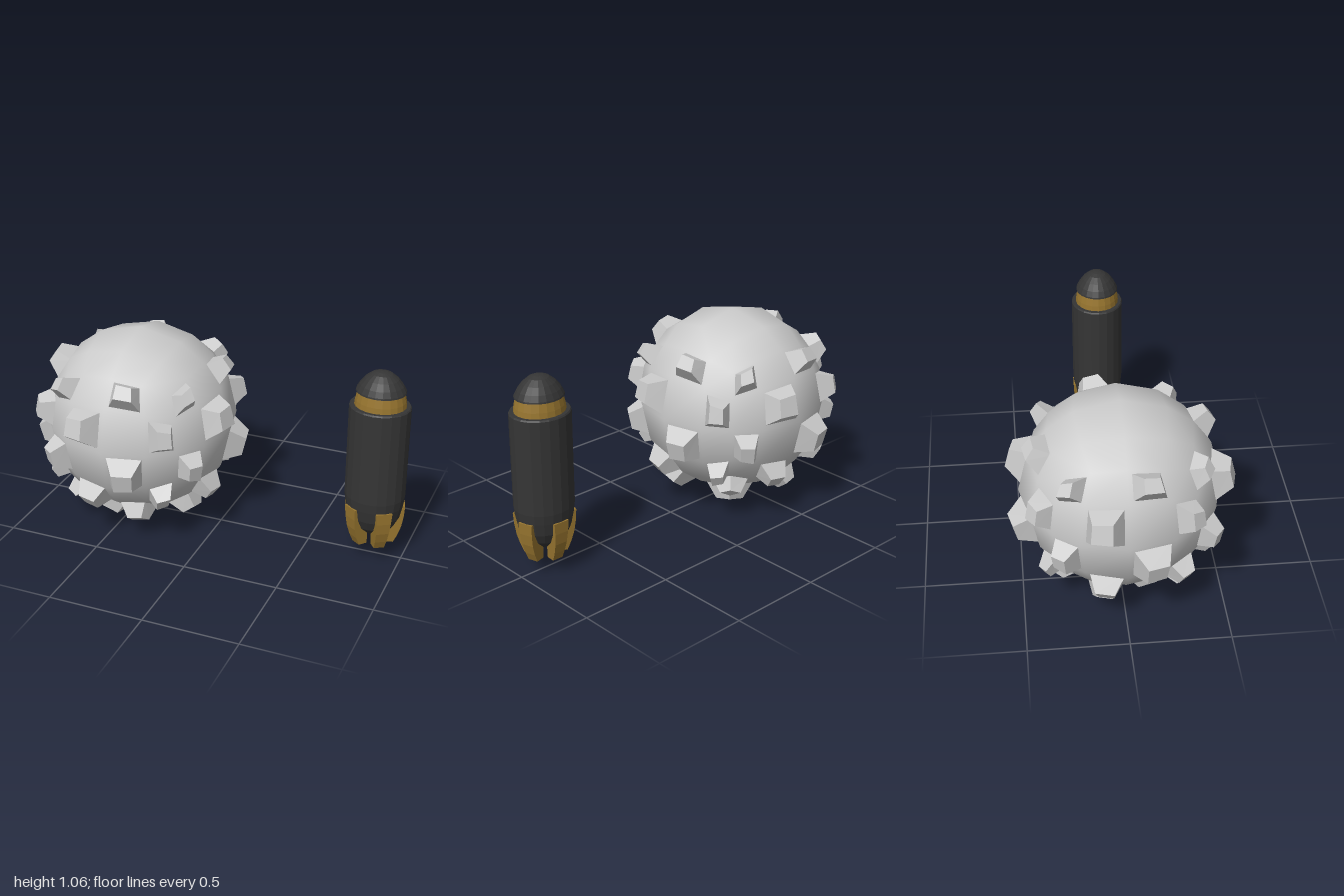
import * as THREE from 'three';

const grey = new THREE.MeshStandardMaterial({ color: 0xcccccc });
const greyFlat = new THREE.MeshStandardMaterial({ color: 0xcccccc, flatShading: true });
const dark = new THREE.MeshStandardMaterial({ color: 0x353535, flatShading: true });
const gold = new THREE.MeshStandardMaterial({ color: 0x97752f, flatShading: true });

const BALL_RADIUS = 0.5;

function add(parent, name, geometry, material) {
  const mesh = new THREE.Mesh(geometry, material);
  mesh.name = name;
  parent.add(mesh);
  return mesh;
}

// Rewrites every vertex of a geometry with a rule
function moveVertices(geometry, rule) {
  const pos = geometry.attributes.position;
  const v = new THREE.Vector3();
  for (let i = 0; i < pos.count; i++) {
    v.fromBufferAttribute(pos, i);
    rule(v);
    pos.setXYZ(i, v.x, v.y, v.z);
  }
  geometry.computeVertexNormals();
  return geometry;
}

// Cube with a 4 x 4 grid per side, inflated to a ball with smooth normals
function ballGeometry() {
  const g = moveVertices(new THREE.BoxGeometry(2, 2, 2, 4, 4, 4), v => v.setLength(BALL_RADIUS));
  const pos = g.attributes.position;
  for (let i = 0; i < pos.count; i++) {
    g.attributes.normal.setXYZ(i, pos.getX(i) / BALL_RADIUS, pos.getY(i) / BALL_RADIUS, pos.getZ(i) / BALL_RADIUS);
  }
  return g;
}

// Tapered stud standing on one grid cell of the +z side
function studGeometry(cx, cy) {
  const centre = new THREE.Vector3(cx, cy, 1).normalize();
  return moveVertices(new THREE.BoxGeometry(2, 2, 2), v => {
    const tip = v.z > 0;
    const base = new THREE.Vector3(cx + v.x * 0.225, cy + v.y * 0.225, 1).setLength(0.477);
    if (!tip) return v.copy(base);
    const foot = centre.clone().multiplyScalar(base.dot(centre));
    return v.copy(base).sub(foot).multiplyScalar(0.53).addScaledVector(centre, 0.567);
  });
}

// Studs in a checkerboard over one side of the ball
function studSide() {
  const side = new THREE.Group();
  side.name = 'studSide';
  for (let row = 0; row < 4; row++) {
    for (let col = row % 2; col < 4; col += 2) {
      add(side, 'stud', studGeometry(-0.75 + col * 0.5, 0.75 - row * 0.5), greyFlat);
    }
  }
  return side;
}

function studdedBall() {
  const ball = new THREE.Group();
  ball.name = 'studdedBall';
  add(ball, 'ballCore', ballGeometry(), grey);
  for (let i = 0; i < 4; i++) {
    const side = studSide();
    side.rotation.y = i * Math.PI / 2;
    ball.add(side);
  }
  const bottom = studSide();
  bottom.rotation.x = Math.PI / 2;
  ball.add(bottom);
  return ball;
}

function lathe(points) {
  return new THREE.LatheGeometry(points.map(([r, y]) => new THREE.Vector2(r, y)), 20);
}

// Curved fin hugging the body, narrowing to its lower end, pointing along +x
function finGeometry() {
  const outline = [[0.11, 0.31], [0.155, 0.31], [0.152, 0.25], [0.143, 0.19], [0.126, 0.135],
    [0.106, 0.09], [0.056, 0.09], [0.06, 0.15], [0.09, 0.22]];
  const shape = new THREE.Shape(outline.map(([r, y]) => new THREE.Vector2(r, y)));
  const g = new THREE.ExtrudeGeometry(shape, { depth: 1, bevelEnabled: false });
  return moveVertices(g, v => {
    v.z = (v.z - 0.5) * THREE.MathUtils.mapLinear(v.y, 0.09, 0.31, 0.056, 0.084);
  });
}

function capsule() {
  const group = new THREE.Group();
  group.name = 'capsule';
  add(group, 'body', lathe([[0, 0.15], [0.066, 0.15], [0.108, 0.19], [0.135, 0.245], [0.149, 0.31],
    [0.155, 0.36], [0.155, 0.85], [0.15, 0.857], [0, 0.857]]), dark);
  add(group, 'neck', lathe([[0.131, 0.85], [0.127, 0.885], [0.116, 0.935]]), gold);
  add(group, 'cap', lathe([[0, 0.93], [0.126, 0.93], [0.124, 0.938], [0.109, 0.966], [0.084, 0.998],
    [0.052, 1.023], [0.026, 1.033], [0, 1.036]]), dark);
  for (let i = 0; i < 5; i++) {
    const fin = add(group, 'fin', finGeometry(), gold);
    fin.rotation.y = THREE.MathUtils.degToRad(16 + i * 72);
  }
  group.scale.z = 0.91;
  return group;
}

export function createModel() {
  const model = new THREE.Group();
  model.name = 'studdedBallAndCapsule';
  const ball = studdedBall();
  ball.position.set(-0.45, 0.565, 0);
  const pod = capsule();
  pod.position.x = 0.843;
  model.add(ball, pod);
  return model;
}
